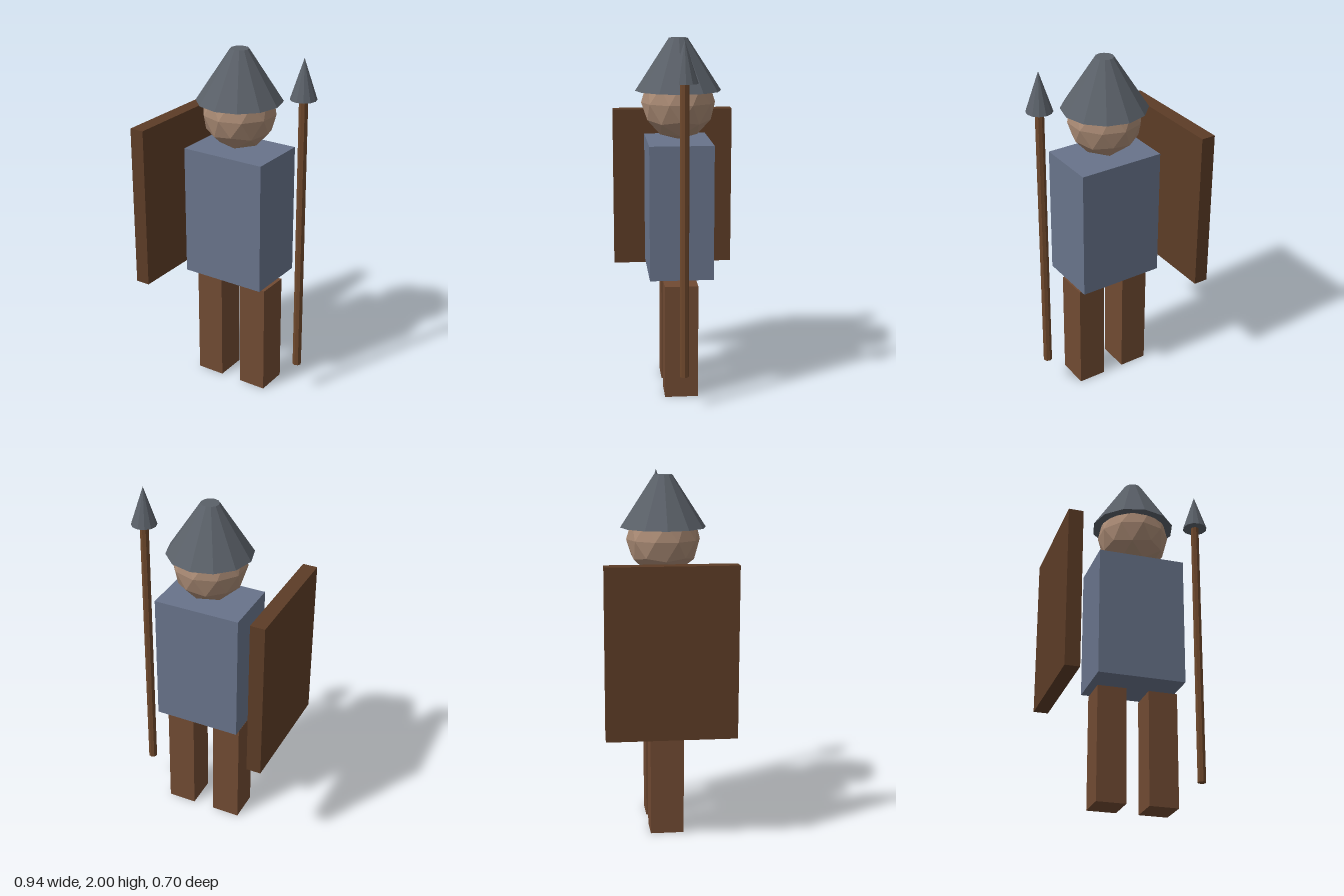
import * as THREE from 'three';

const COLORS = {
  skin: 0xa98a74, cloth: 0x68738a, leather: 0x704a32,
  board: 0x5c3c26, wood: 0x6e482c, steel: 0x5a6068,
};

export function createModel() {
  const model = new THREE.Group();
  model.name = 'guard';

  const materials = {};
  for (const [key, color] of Object.entries(COLORS)) {
    materials[key] = new THREE.MeshStandardMaterial({ color, flatShading: true });
  }

  function add(name, geometry, material, x, y, parent = model) {
    const mesh = new THREE.Mesh(geometry, materials[material]);
    mesh.name = name;
    mesh.position.set(x, y, 0);
    parent.add(mesh);
    return mesh;
  }

  const bodyX = 0.003; // the figure's own centre line

  // Legs
  for (const [name, side] of [['leftLeg', 1], ['rightLeg', -1]]) {
    add(name, new THREE.BoxGeometry(0.164, 0.645, 0.186), 'leather', bodyX + side * 0.145, 0.3225);
  }

  // Torso
  add('torso', new THREE.BoxGeometry(0.495, 0.745, 0.352), 'cloth', bodyX, 1.0585);

  // Head: faceted ball turned so that a five-sided corner points straight up
  const golden = (1 + Math.sqrt(5)) / 2;
  const ball = new THREE.IcosahedronGeometry(0.205, 1).rotateZ(Math.atan(1 / golden));
  add('head', ball, 'skin', bodyX, 1.64);

  // Hat: blunt twelve-sided cone
  add('hat', new THREE.CylinderGeometry(0.051, 0.238, 0.287, 12), 'steel', bodyX, 1.8475);

  // Shield on the right side
  add('shield', new THREE.BoxGeometry(0.083, 0.93, 0.704), 'board', -0.432, 1.088);

  // Spear on the left side
  const spear = new THREE.Group();
  spear.name = 'spear';
  spear.position.x = 0.399;
  model.add(spear);
  add('spearShaft', new THREE.CylinderGeometry(0.025, 0.025, 1.595, 8), 'wood', 0, 0.9825, spear);
  add('spearHead', new THREE.ConeGeometry(0.072, 0.22, 12), 'steel', 0, 1.89, spear);

  return model;
}
